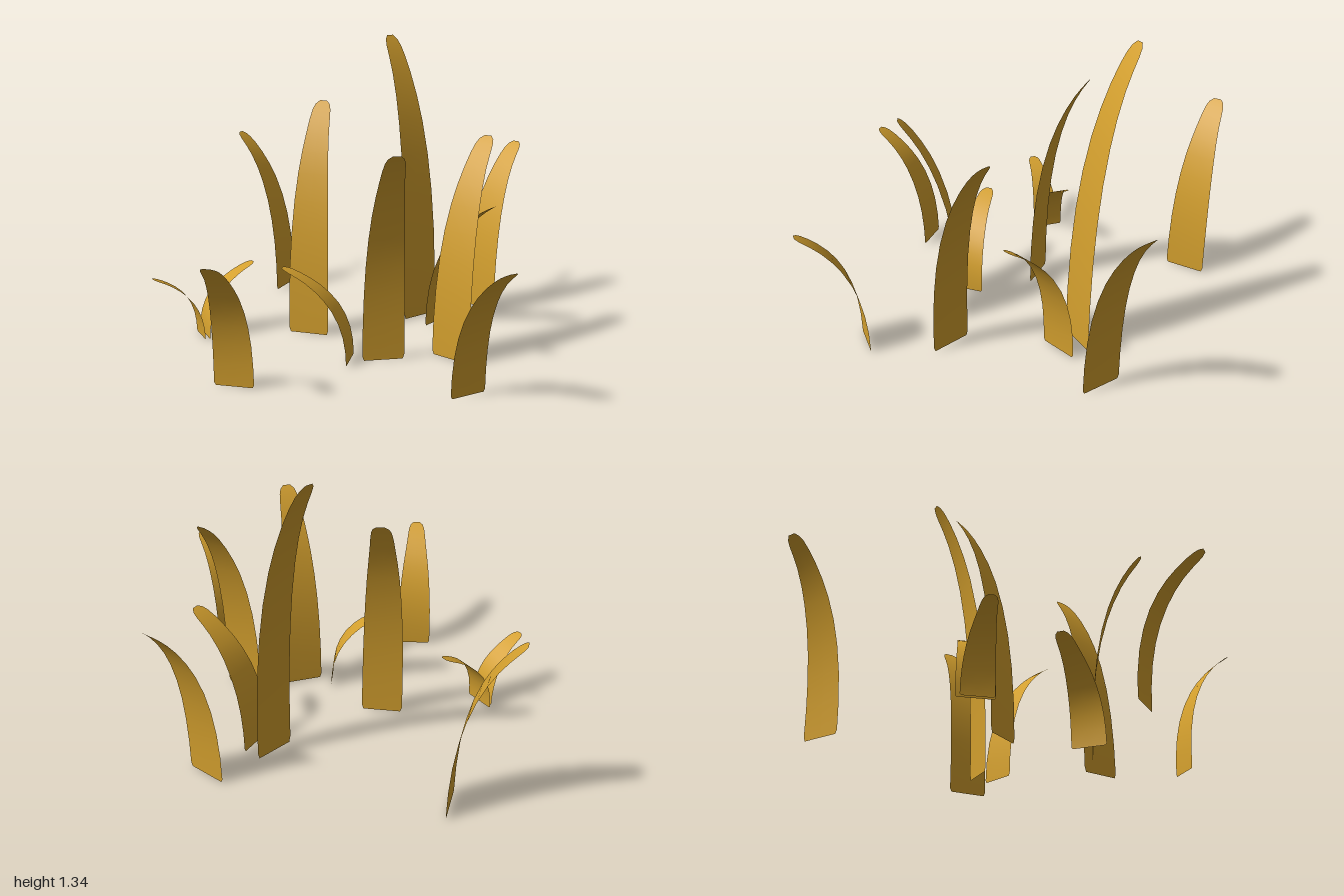
import * as THREE from 'three';

// Each blade: base x, base z, tip x, tip z, height, base width
const BLADES = [
  [-0.755, -0.36, -1.0, -0.295, 0.81, 0.19],
  [0.23, -0.715, 0.265, -0.965, 0.81, 0.19],
  [0.075, -0.425, -0.17, -0.49, 1.34, 0.19],
  [0.18, -0.415, 0.48, -0.415, 0.61, 0.18],
  [0.495, -0.065, 0.495, -0.32, 0.95, 0.19],
  [-0.185, 0.095, -0.28, -0.13, 1.055, 0.19],
  [0.165, 0.22, -0.1, 0.355, 0.4, 0.155],
  [0.275, 0.125, 0.46, 0.29, 0.945, 0.185],
  [0.757, 0.2, 1.0, 0.3, 0.58, 0.165],
  [-0.025, 0.73, 0.095, 0.965, 0.58, 0.17],
  [-0.55, 0.405, -0.45, 0.185, 0.32, 0.15],
  [-0.555, 0.425, -0.645, 0.62, 0.3, 0.13],
];

// Outline of a blade: position along its length, share of the base width
const OUTLINE = [
  [0, 0.92], [0.015, 1], [0.12, 0.99], [0.24, 0.96], [0.36, 0.91], [0.48, 0.84],
  [0.6, 0.75], [0.7, 0.66], [0.8, 0.57], [0.88, 0.51], [0.94, 0.45], [0.975, 0.36], [1, 0.18],
];

// A thin flat strip that rises and arches over towards its tip
function bladeGeometry([bx, bz, tx, tz, height, width]) {
  const rows = OUTLINE.length - 1;
  const geometry = new THREE.PlaneGeometry(1, 1, 2, rows);
  const position = geometry.attributes.position;
  const reach = Math.hypot(tx - bx, tz - bz);
  const dx = (tx - bx) / reach;
  const dz = (tz - bz) / reach;
  for (let i = 0; i < position.count; i++) {
    const [t, share] = OUTLINE[rows - Math.floor(i / 3)];
    const side = position.getX(i) * width * share;
    const lean = reach * Math.pow(t, 2.1);
    const y = height * (t - 0.3 * t * t) / 0.7;
    position.setXYZ(i, bx + dx * lean + dz * side, y, bz + dz * lean - dx * side);
  }
  geometry.computeVertexNormals();
  return geometry;
}

export function createModel() {
  const group = new THREE.Group();
  group.name = 'grassBlades';
  const material = new THREE.MeshStandardMaterial({ color: 0xd4a02e, side: THREE.DoubleSide });
  BLADES.forEach((blade, i) => {
    const mesh = new THREE.Mesh(bladeGeometry(blade), material);
    mesh.name = `blade${i + 1}`;
    group.add(mesh);
  });
  return group;
}
